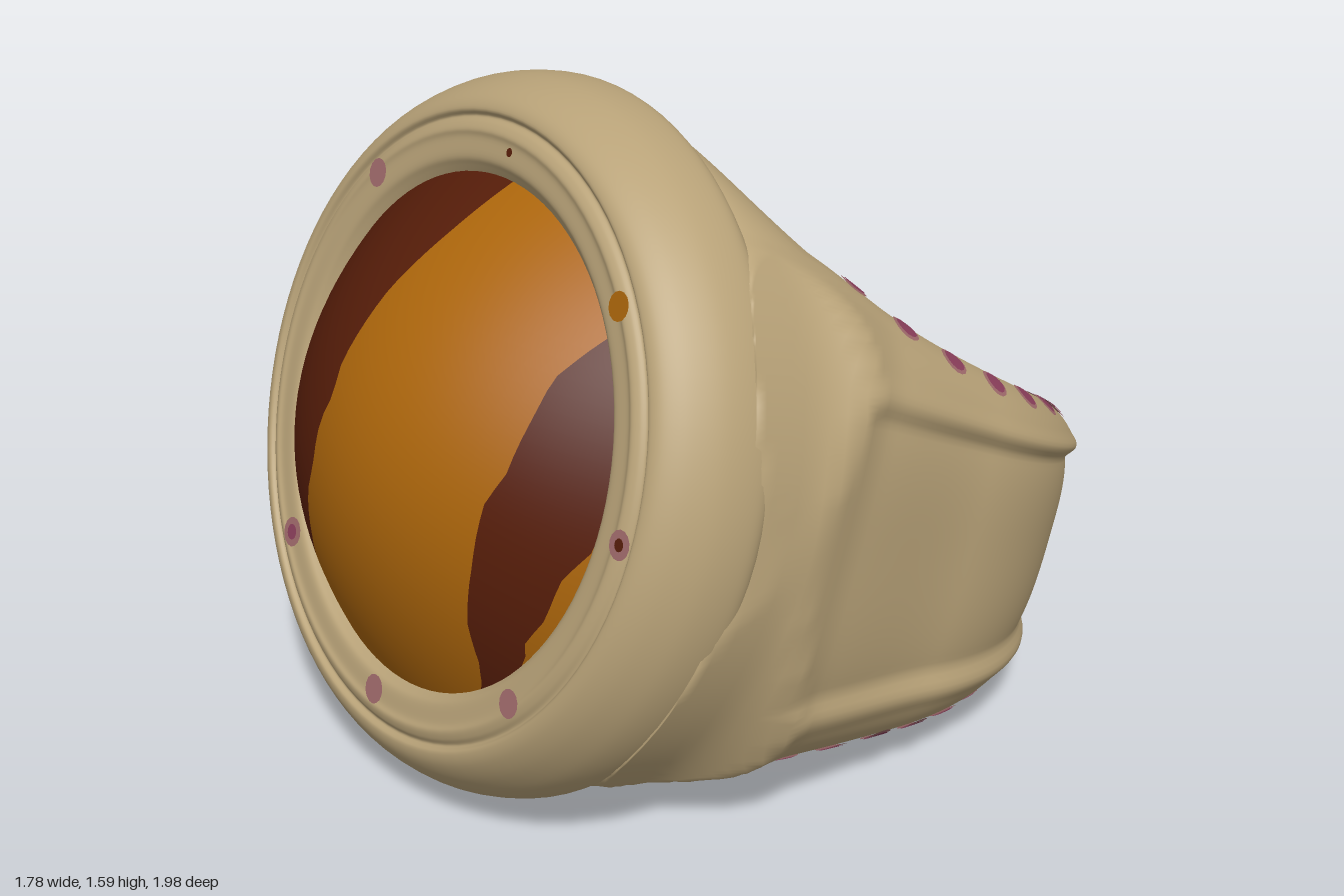
import * as THREE from 'three';

const { smoothstep, lerp } = THREE.MathUtils;
const mat = (name, color, side = THREE.FrontSide) => {
  const m = new THREE.MeshStandardMaterial({ color, side });
  m.name = name;
  return m;
};
const DEG = Math.PI / 180;

// Height of the upper (end > 0) or lower rim above the ring's middle plane; theta 0 is the front
function rimHeight(theta, end) {
  const u = (Math.cos(theta) + 1) / 2;
  return end > 0 ? 0.25 + 0.29 * u + 0.23 * u ** 6 : 0.38 + 0.22 * u + 0.17 * u ** 6;
}

// Outer skin of band, shoulders and head: s runs from the lower rim (-1) to the upper rim (1)
function skin(theta, s) {
  const co = Math.cos(theta), si = Math.sin(theta);
  const hi = rimHeight(theta, s);
  const R = Math.min(0.8 + 0.66 * Math.max(co, 0) ** 2, 0.77 / Math.max(co, 0.01));
  // sections turn from a rounded band into a square-shouldered head
  const head = smoothstep(co, 0.42, 0.85);
  const t = Math.sin(s * Math.PI / 2);
  const c = Math.max(0, 1 - Math.abs(t) ** lerp(3.2, 10, head)) ** (1 / lerp(2, 4, head));
  // sunken shoulder panel with a soft raised border
  const a = Math.abs(Math.atan2(si, co)) / DEG;
  const m = smoothstep(a, 50, 63) * (1 - smoothstep(a, 143, 156)) * (1 - smoothstep(Math.abs(t), 0.58, 0.8));
  const r = 0.62 + (R - 0.62) * c - 0.03 * m + 0.07 * m * (1 - m);
  let x = r * si;
  const z = r * co;
  const disc = Math.sqrt(Math.max(0, 0.825 ** 2 - x * x));
  const y = t * lerp(hi, Math.max(hi, disc), smoothstep(co, 0.2, 0.7) * c);
  // the shoulders run into the round head
  const lim = lerp(1.02, 0.83, smoothstep(z, 0.15, 0.62));
  if (Math.hypot(x, y) > lim) x = Math.sign(x) * Math.sqrt(Math.max(0, lim * lim - y * y));
  return new THREE.Vector3(x, y, z);
}

// Band: closed cross-sections swept round the finger hole
function bandGeometry() {
  const N = 220, S = 84, inner = [0.985, 0.95, 0.9, 0.5, 0, -0.5, -0.9, -0.95, -0.985];
  const M = S + 1 + inner.length, pos = [], idx = [];
  for (let i = 0; i < N; i++) {
    const th = i / N * Math.PI * 2;
    for (let j = 0; j <= S; j++) pos.push(...skin(th, j / S * 2 - 1).toArray());
    for (const k of inner) {
      const r = 0.6 + 0.012 * smoothstep(Math.abs(k), 0.93, 1);
      pos.push(r * Math.sin(th), k * rimHeight(th, k), r * Math.cos(th));
    }
    for (let j = 0; j < M; j++) {
      const i2 = (i + 1) % N, j2 = (j + 1) % M;
      const a = i * M + j, b = i2 * M + j, c = i2 * M + j2, d = i * M + j2;
      idx.push(a, b, c, a, c, d);
    }
  }
  const g = new THREE.BufferGeometry();
  g.setAttribute('position', new THREE.Float32BufferAttribute(pos, 3));
  g.setIndex(idx);
  g.computeVertexNormals();
  return g;
}

// Small round spot on the rim, at a set distance from the finger axis, following the skin
function spotGeometry(theta, end, dist, radius, lift) {
  let s = end;
  while (Math.abs(s) > 0.5 && Math.hypot(skin(theta, s).x, skin(theta, s).z) < dist) s -= end * 0.002;
  const e = 0.004, p = skin(theta, s);
  const dt = skin(theta + e, s).sub(p).divideScalar(e);
  const ds = skin(theta, s + e).sub(p).divideScalar(e);
  const n = dt.clone().cross(ds).normalize();
  // step sideways along the rim and square to it
  const du = dt.clone().normalize();
  const skew = ds.dot(du), across = ds.clone().addScaledVector(du, -skew).length();
  const g = new THREE.RingGeometry(0, radius, 14, 3);
  const q = g.attributes.position;
  for (let i = 0; i < q.count; i++) {
    const b = q.getY(i) / across, a = (q.getX(i) - b * skew) / dt.length();
    const v = skin(theta + a, s + b).addScaledVector(n, lift);
    q.setXYZ(i, v.x, v.y, v.z);
  }
  g.computeVertexNormals();
  return g;
}

// Linear interpolation in a short list of [y, x] pairs
function along(list, y) {
  if (y <= list[0][0]) return list[0][1];
  for (let i = 1; i < list.length; i++) {
    const [y0, x0] = list[i - 1], [y1, x1] = list[i];
    if (y <= y1) return lerp(x0, x1, (y - y0) / (y1 - y0));
  }
  return list[list.length - 1][1];
}

// One stripe of the domed stone between two edges x = left(y) and x = right(y)
const STONE = 0.58, DOME = 0.28;
function stripeGeometry(left, right) {
  const rows = 48, cols = 14, pos = [], nor = [], idx = [];
  for (let i = 0; i <= rows; i++) {
    const y = -STONE * Math.cos(i / rows * Math.PI);
    const w = Math.sqrt(Math.max(0, STONE * STONE - y * y));
    const cl = (v) => Math.min(w, Math.max(-w, v));
    const x0 = cl(left(y)), x1 = cl(right(y));
    for (let j = 0; j <= cols; j++) {
      const x = lerp(x0, x1, j / cols);
      pos.push(x + 0.015, y, 0.945 + DOME * (1 - (x * x + y * y) / STONE ** 2));
      const k = 2 * DOME / STONE ** 2;
      nor.push(...new THREE.Vector3(k * x, k * y, 1).normalize().toArray());
      if (i < rows && j < cols) {
        const a = i * (cols + 1) + j, d = a + cols + 1;
        idx.push(a, a + 1, d + 1, a, d + 1, d);
      }
    }
  }
  const g = new THREE.BufferGeometry();
  g.setAttribute('position', new THREE.Float32BufferAttribute(pos, 3));
  g.setAttribute('normal', new THREE.Float32BufferAttribute(nor, 3));
  g.setIndex(idx);
  return g;
}

export function createModel() {
  const tan = mat('tan metal', 0xb8a278);
  const brown = mat('dark brown', 0x561d09, THREE.DoubleSide);
  const amber = mat('amber', 0xab650b, THREE.DoubleSide);
  const pink = mat('dusty pink', 0xa06a6c, THREE.DoubleSide);
  const plum = mat('plum', 0x8c3f5c, THREE.DoubleSide);

  const ring = new THREE.Group();
  ring.name = 'ring';
  const add = (name, geo, material) => {
    const mesh = new THREE.Mesh(geo, material);
    mesh.name = name;
    ring.add(mesh);
  };

  add('band', bandGeometry(), tan);

  // Rounded front of the head with a grooved bezel
  const profile = [[0.79, 0.68], [0.822, 0.72], [0.826, 0.77], [0.812, 0.84], [0.78, 0.905], [0.745, 0.945],
    [0.715, 0.958], [0.7, 0.947], [0.686, 0.958], [0.668, 0.965], [0.65, 0.96], [0.61, 0.958], [0.59, 0.945], [0.56, 0.92]];
  const curve = new THREE.SplineCurve(profile.map(([r, z]) => new THREE.Vector2(r, z)));
  add('bezel', new THREE.LatheGeometry(curve.getPoints(65), 96).rotateX(Math.PI / 2), tan);

  // Striped stone
  const e1 = [[-0.52, -0.27], [-0.4, -0.255], [-0.32, -0.19], [-0.2, -0.15], [-0.13, -0.11], [-0.02, -0.095], [0.05, -0.065],
    [0.12, -0.075], [0.3, -0.045], [0.45, 0], [0.58, 0.03]];
  const e2 = [[-0.47, 0.33], [-0.41, 0.345], [-0.32, 0.345], [-0.18, 0.37], [-0.03, 0.385], [0.03, 0.41], [0.17, 0.42], [0.25, 0.42], [0.33, 0.45], [0.36, 0.58]];
  const e3 = [[-0.5, 0.37], [-0.42, 0.4], [-0.38, 0.45], [-0.33, 0.45], [-0.25, 0.5], [-0.15, 0.53], [-0.06, 0.58]];
  const edges = [() => -1, (y) => along(e1, y), (y) => along(e2, y), (y) => along(e3, y), () => 1];
  [brown, amber, brown, amber].forEach((m, i) => add('stoneStripe' + (i + 1), stripeGeometry(edges[i], edges[i + 1]), m));

  // Spots on the bezel: x, y, radius, material
  const bezelSpots = [[-0.44, 0.48, 0.034, pink], [0.51, 0.43, 0.032, amber], [0.685, -0.02, 0.032, pink], [-0.47, -0.42, 0.036, pink],
    [-0.01, -0.63, 0.034, pink], [0.465, -0.46, 0.032, pink], [0.685, -0.02, 0.014, brown], [-0.47, -0.42, 0.019, plum], [0.04, 0.64, 0.01, brown]];
  bezelSpots.forEach(([x, y, r, m], i) =>
    add('bezelSpot', new THREE.CircleGeometry(r, 14).translate(x, y, 0.967 + 0.0003 * i), m));

  // Rows of spots along both rims of both shoulders
  for (const side of [1, -1]) for (const end of [1, -1]) {
    const count = end > 0 ? 9 : 10, size = side > 0 ? 0.038 : 0.048;
    const last = side > 0 && end > 0 ? 150 : 143;
    for (let i = 0; i < count; i++) {
      const th = side * lerp(56, last, i / (count - 1)) * DEG;
      add('rimSpot', spotGeometry(th, end, 0.69, size, 0.004), pink);
      add('rimSpotCore', spotGeometry(th, end, 0.69, size * 0.78, 0.006), plum);
    }
  }
  for (const end of [1, -1]) {
    add('headSpot', spotGeometry(3 * DEG, end, 0.645, 0.028, 0.005), brown);
    add('backSpot', spotGeometry(-145 * DEG, end, 0.69, 0.02, 0.009), brown);
  }

  // Tilt the ring so that the head looks up and to its right
  const n = new THREE.Vector3(-0.24, 0.3, 0.925).normalize();
  const x = new THREE.Vector3(0, 1, 0).cross(n).normalize();
  const y = n.clone().cross(x);
  ring.quaternion.setFromRotationMatrix(new THREE.Matrix4().makeBasis(x, y, n));
  ring.position.set(0.115, 0.575, -0.2);

  const model = new THREE.Group();
  model.name = 'signetRing';
  model.add(ring);
  return model;
}
